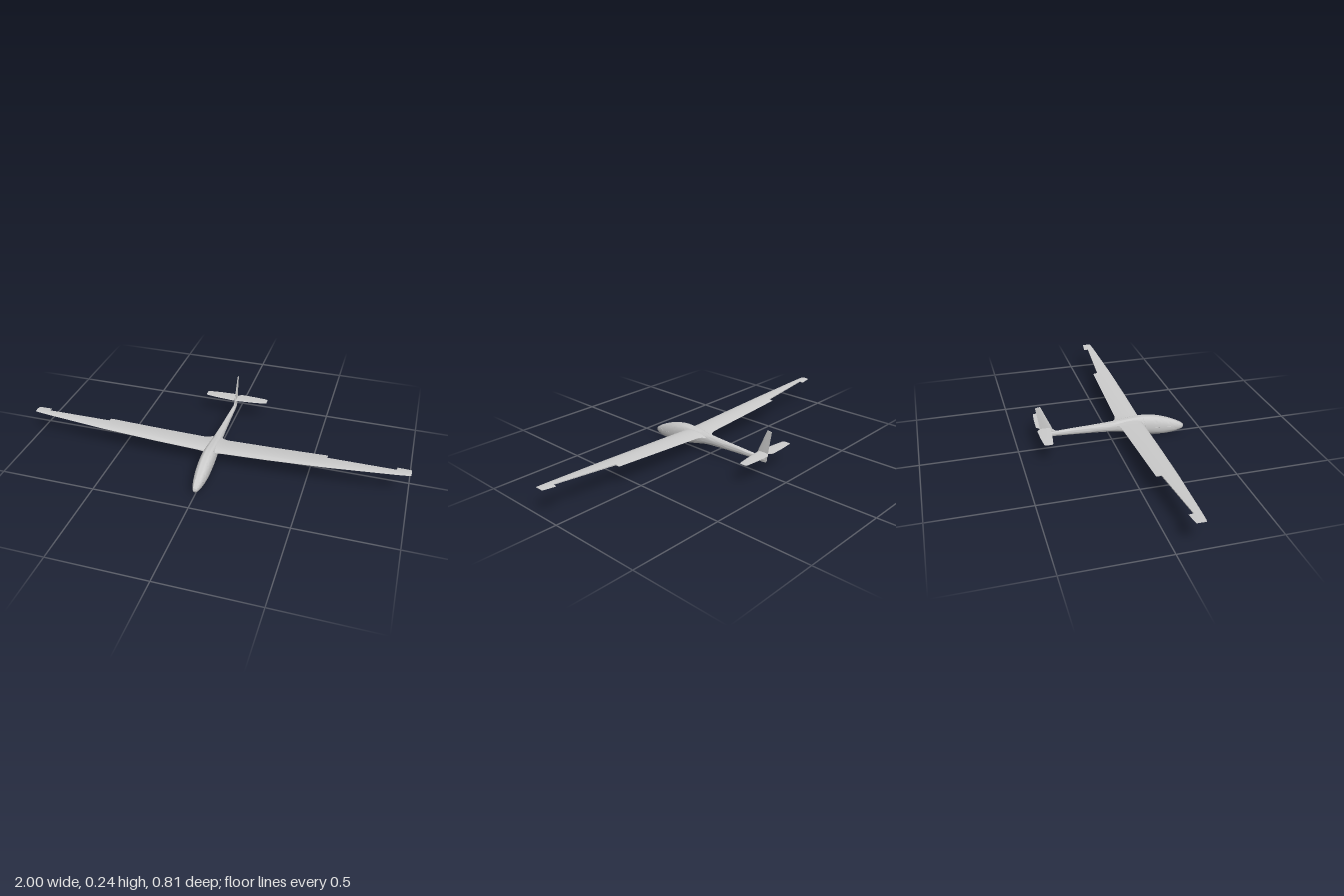
import * as THREE from 'three';
import { toCreasedNormals } from 'three/addons/utils/BufferGeometryUtils.js';

const material = new THREE.MeshStandardMaterial({ color: 0xcccccc });

// Skin closed rings of points into a capped solid; skip(i, j) leaves a panel open.
function loft(rings, crease = 0.6, skip = () => false) {
  const n = rings[0].length, positions = rings.flat(2), index = [];
  for (let i = 0; i < rings.length - 1; i++) {
    for (let j = 0; j < n; j++) {
      if (skip(i, j)) continue;
      const k = (j + 1) % n;
      const a = i * n + j, b = a + n, c = i * n + k, d = c + n;
      index.push(a, b, c, b, d, c);
    }
  }
  [0, rings.length - 1].forEach((r) => {
    const center = positions.length / 3;
    for (let axis = 0; axis < 3; axis++) {
      positions.push(rings[r].reduce((sum, p) => sum + p[axis], 0) / n);
    }
    for (let j = 0; j < n; j++) {
      const a = r * n + j, b = r * n + (j + 1) % n;
      index.push(center, ...(r === 0 ? [a, b] : [b, a]));
    }
  });
  const geometry = new THREE.BufferGeometry();
  geometry.setAttribute('position', new THREE.Float32BufferAttribute(positions, 3));
  geometry.setIndex(index);
  return toCreasedNormals(geometry, crease);
}

// Airfoil outline as [distance behind leading edge, height], optionally cut short of the full chord.
function airfoil(chord, thickness, camber = 0, length = chord) {
  const steps = 12, top = [], bottom = [];
  for (let i = 0; i <= steps; i++) {
    const u = (1 - Math.cos((Math.PI * i) / steps)) / 2 * (length / chord);
    const half = 5 * thickness * chord *
      (0.2969 * Math.sqrt(u) - 0.126 * u - 0.3516 * u ** 2 + 0.2843 * u ** 3 - 0.1015 * u ** 4);
    const mid = camber * chord * 4 * u * (1 - u);
    top.push([u * chord, mid + Math.max(half, 0.0003)]);
    bottom.push([u * chord, mid - Math.max(half, 0.0003)]);
  }
  return [...top, ...bottom.reverse()];
}

// Spanwise surface from half-span stations: [x, y, leading z, full trailing z, thickness, cut trailing z]
function spanSurface(stations, camber) {
  const ring = (side) => ([x, y, lead, trail, t, cut = trail]) =>
    airfoil(lead - trail, t, camber, lead - cut).map(([c, h]) => [side * x, y + h, lead - c]);
  return loft([...stations.slice(1).reverse().map(ring(-1)), ...stations.map(ring(1))]);
}

// Fuselage stations: [z, bottom, top, half width]
const hullStations = [
  [0.405, 0.029, 0.031, 0.001], [0.4, 0.019, 0.04, 0.009], [0.385, 0.011, 0.052, 0.016],
  [0.355, 0.005, 0.069, 0.024], [0.31, 0.001, 0.089, 0.031], [0.26, 0.002, 0.106, 0.035],
  [0.21, 0.009, 0.117, 0.036], [0.16, 0.018, 0.121, 0.035], [0.1, 0.031, 0.118, 0.031],
  [0.05, 0.043, 0.112, 0.026], [0, 0.051, 0.107, 0.022], [-0.1, 0.058, 0.102, 0.017],
  [-0.2, 0.063, 0.099, 0.013], [-0.29, 0.067, 0.095, 0.01], [-0.33, 0.068, 0.094, 0.008],
  [-0.365, 0.069, 0.09, 0.003],
];
const spline = (side) => new THREE.CatmullRomCurve3(
  hullStations.map((s) => new THREE.Vector3(s[3], s[side], s[0])), false, 'catmullrom', 0.5);
const bottomCurve = spline(1), topCurve = spline(2);
const POWER = 2.25;

function hullSection(t) {
  const low = bottomCurve.getPoint(t), high = topCurve.getPoint(t);
  return { z: low.z, width: low.x, mid: (low.y + high.y) / 2, half: (high.y - low.y) / 2 };
}

// Point on the left side of the hull at a given z and y
function hullPoint(z, y) {
  let a = 0, b = 1;
  for (let i = 0; i < 30; i++) {
    const m = (a + b) / 2;
    if (hullSection(m).z > z) a = m; else b = m;
  }
  const s = hullSection(a);
  const v = Math.min(1, Math.abs(y - s.mid) / s.half);
  return new THREE.Vector3(s.width * (1 - v ** POWER) ** (1 / POWER), Math.min(y, s.mid + s.half), z);
}

function createFuselage() {
  const rings = [], sides = 32, steps = 75, bend = (v) => Math.sign(v) * Math.abs(v) ** (2 / POWER);
  for (let i = 0; i <= steps; i++) {
    const s = hullSection(i / steps);
    rings.push(Array.from({ length: sides }, (_, j) => {
      const a = (2 * Math.PI * j) / sides;
      return [s.width * bend(Math.cos(a)), s.mid + s.half * bend(Math.sin(a)), s.z];
    }));
  }
  // Open wheel bay in the belly
  const bay = (i, j) => j >= 22 && j <= 25 && rings[i][0][2] < 0.19 && rings[i + 1][0][2] > 0.135;
  return loft(rings, 1.2, bay);
}

export function createModel() {
  const group = new THREE.Group();
  const add = (name, geometry) => {
    const mesh = new THREE.Mesh(geometry, material);
    mesh.name = name;
    group.add(mesh);
    return mesh;
  };

  add('fuselage', createFuselage());

  // Canopy outline, a fine seam on each side
  const outline = [[0.362, 0.066], [0.352, 0.053], [0.341, 0.044], [0.3, 0.049], [0.24, 0.057],
    [0.185, 0.064], [0.176, 0.072], [0.173, 0.09], [0.169, 0.11], [0.168, 0.12]];
  const path = new THREE.CatmullRomCurve3(outline.map(([z, y]) => hullPoint(z, y)));
  const seam = new THREE.TubeGeometry(path, 60, 0.0005, 5);
  add('canopySeamLeft', seam);
  const mirrored = path.points.map((p) => new THREE.Vector3(-p.x, p.y, p.z));
  add('canopySeamRight', new THREE.TubeGeometry(new THREE.CatmullRomCurve3(mirrored), 60, 0.0005, 5));

  // Wing with flared roots and recesses along the outer trailing edges
  add('wing', spanSurface([
    [0, 0.094, 0.161, 0.012, 0.16],
    [0.028, 0.094, 0.161, 0.014, 0.16],
    [0.04, 0.096, 0.159, 0.026, 0.15],
    [0.065, 0.098, 0.158, 0.034, 0.14],
    [0.3, 0.107, 0.157, 0.041, 0.13],
    [0.59, 0.12, 0.151, 0.048, 0.12],
    [0.59, 0.12, 0.151, 0.048, 0.12, 0.073],
    [0.93, 0.138, 0.135, 0.074, 0.1, 0.097],
    [0.93, 0.138, 0.135, 0.074, 0.1],
    [0.985, 0.141, 0.131, 0.08, 0.09],
    [1, 0.142, 0.128, 0.082, 0.06],
  ], 0.02));

  // Tailplane, notched around the rudder
  add('tailplane', spanSurface([
    [0, 0.118, -0.328, -0.385, 0.08],
    [0.006, 0.118, -0.328, -0.386, 0.08],
    [0.02, 0.118, -0.329, -0.4, 0.07],
    [0.1, 0.118, -0.336, -0.397, 0.07],
    [0.165, 0.118, -0.345, -0.391, 0.07],
    [0.175, 0.118, -0.351, -0.387, 0.05],
  ], 0));

  // Fin and rudder: [y, leading z, trailing z, thickness]
  const fin = [
    [0.066, -0.325, -0.368, 0.1], [0.072, -0.325, -0.376, 0.12], [0.088, -0.29, -0.378, 0.1],
    [0.096, -0.297, -0.379, 0.11], [0.102, -0.309, -0.38, 0.12], [0.112, -0.318, -0.381, 0.13],
    [0.127, -0.324, -0.384, 0.13], [0.238, -0.373, -0.402, 0.12], [0.244, -0.376, -0.4025, 0.1],
  ];
  add('finAndRudder', loft(fin.map(([y, lead, trail, t]) =>
    airfoil(lead - trail, t).map(([c, h]) => [-h, y - (y > 0.24 ? 0.15 * c : 0), lead - c]))));

  return group;
}
